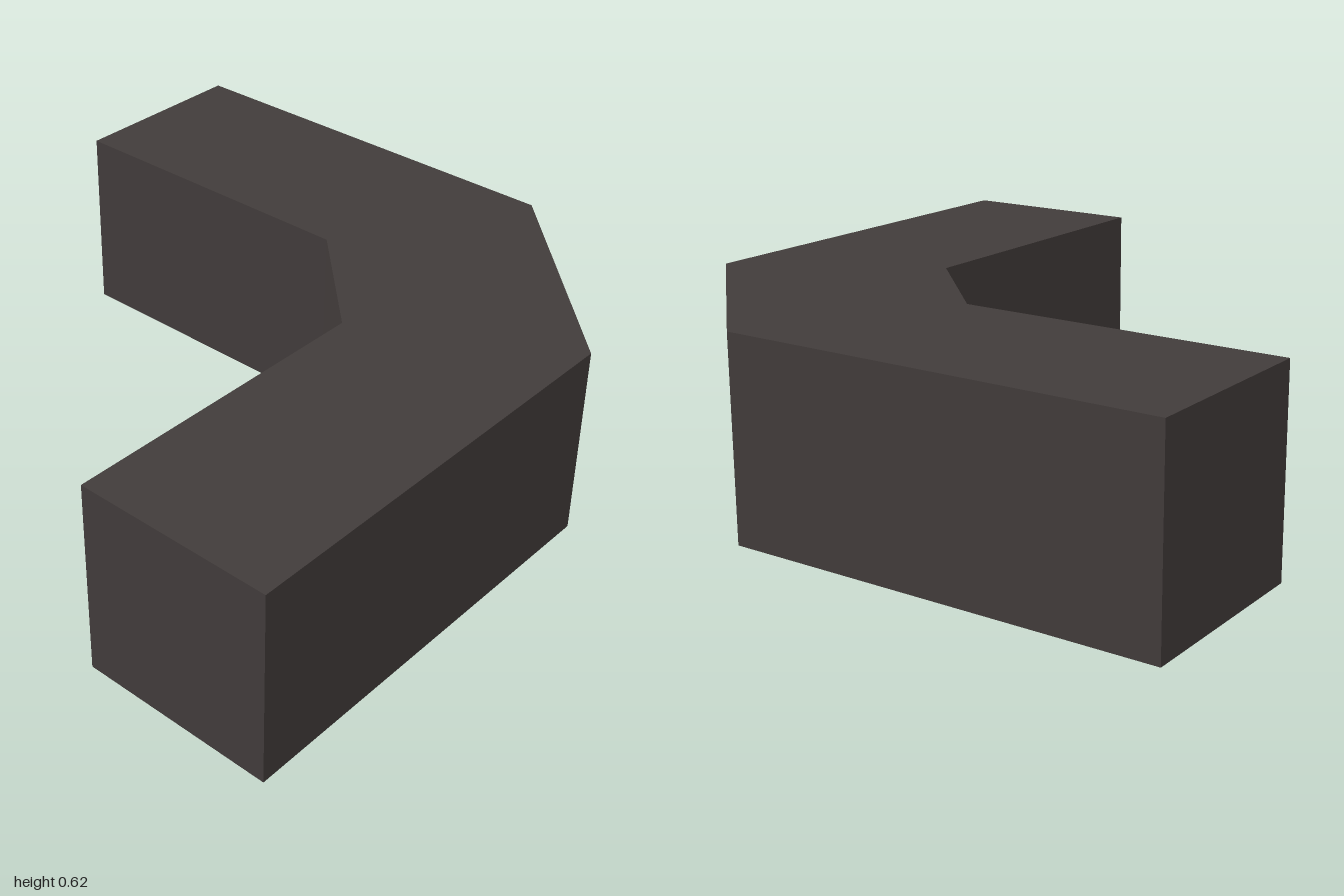
import * as THREE from 'three';

export function createModel() {
  const group = new THREE.Group();
  group.name = 'cornerBlock';

  const charcoal = new THREE.MeshStandardMaterial({ color: 0x423c3b, flatShading: true });
  charcoal.name = 'charcoal';

  // Plan of the bend as [x, z]: two equal arms joined by a 45 degree corner
  const plan = [
    [-1, 1], [0.38, 1], [1, 0.38], [1, -1],
    [0.38, -1], [0.38, 0.035], [0.035, 0.38], [-1, 0.38],
  ];
  const shape = new THREE.Shape(plan.map(([x, z]) => new THREE.Vector2(x, -z)));

  // Raise the plan to full height and lay it on the ground
  const geometry = new THREE.ExtrudeGeometry(shape, { depth: 0.62, bevelEnabled: false });
  geometry.rotateX(-Math.PI / 2);

  const bend = new THREE.Mesh(geometry, charcoal);
  bend.name = 'mitredBend';
  group.add(bend);
  return group;
}
